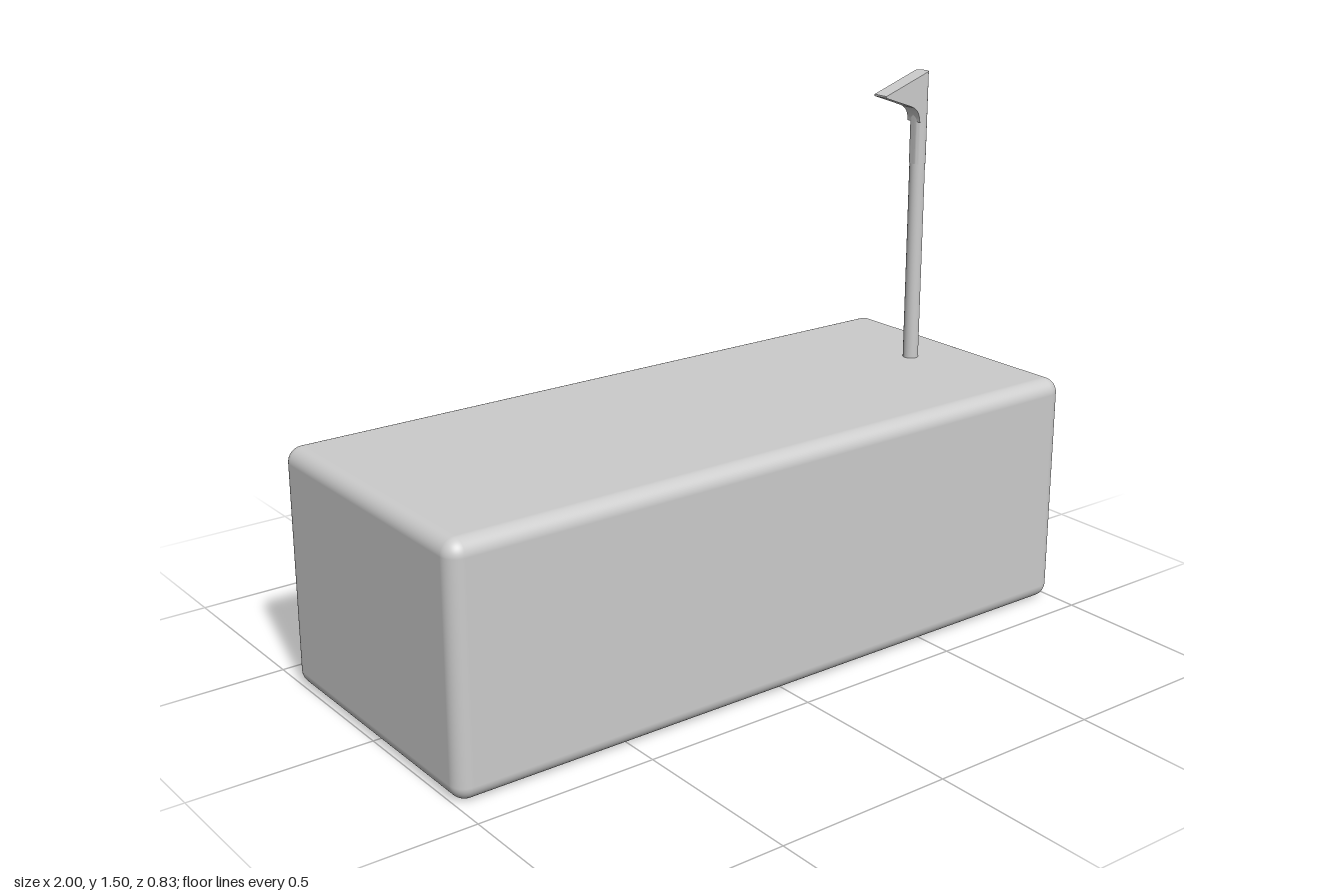
import * as THREE from 'three';
import { RoundedBoxGeometry } from 'three/addons/geometries/RoundedBoxGeometry.js';
import { toCreasedNormals } from 'three/addons/utils/BufferGeometryUtils.js';

const POLE_X = 0.803;
const POLE_R = 0.022;
const HEAD_HALF = 0.0245; // half width of the head in z
const TOP = 1.5;

export function createModel() {
  const model = new THREE.Group();
  const material = new THREE.MeshStandardMaterial({ color: 0xcccccc });
  const add = (name, geometry) => {
    const mesh = new THREE.Mesh(geometry, material);
    mesh.name = name;
    model.add(mesh);
    return mesh;
  };

  // Block with rounded edges
  add('body', new RoundedBoxGeometry(2, 0.667, 0.83, 8, 0.042)).position.y = 0.3335;

  // Slim round post, sunk a little into the block
  const post = new THREE.CylinderGeometry(POLE_R, POLE_R, 0.62, 32);
  add('post', post).position.set(POLE_X, 0.94, 0);

  // Slightly wider collar, its top cut to follow the slope of the beak
  const collar = new THREE.CylinderGeometry(POLE_R, POLE_R, TOP - 1.24, 32);
  collar.scale(1, 1, HEAD_HALF / POLE_R);
  collar.translate(POLE_X, (TOP + 1.24) / 2, 0);
  const p = collar.attributes.position;
  for (let i = 0; i < p.count; i++) {
    if (p.getY(i) > 1.4) p.setY(i, Math.min(TOP, TOP - (0.81 - p.getX(i)) * 0.345));
  }
  add('collar', toCreasedNormals(collar, 0.6));

  // Pointed beak with a curved underside
  const profile = new THREE.Shape();
  profile.moveTo(0.655, 1.442);
  profile.lineTo(0.745, 1.41);
  profile.bezierCurveTo(0.77, 1.402, 0.782, 1.39, 0.784, 1.36);
  profile.lineTo(POLE_X, 1.36);
  profile.lineTo(POLE_X, 1.4975);
  profile.lineTo(0.655, 1.447);
  profile.closePath();
  const beak = new THREE.ExtrudeGeometry(profile, {
    depth: HEAD_HALF * 2, bevelEnabled: false, curveSegments: 12,
  });
  beak.translate(0, 0, -HEAD_HALF);
  add('beak', toCreasedNormals(beak, 0.5));

  return model;
}
